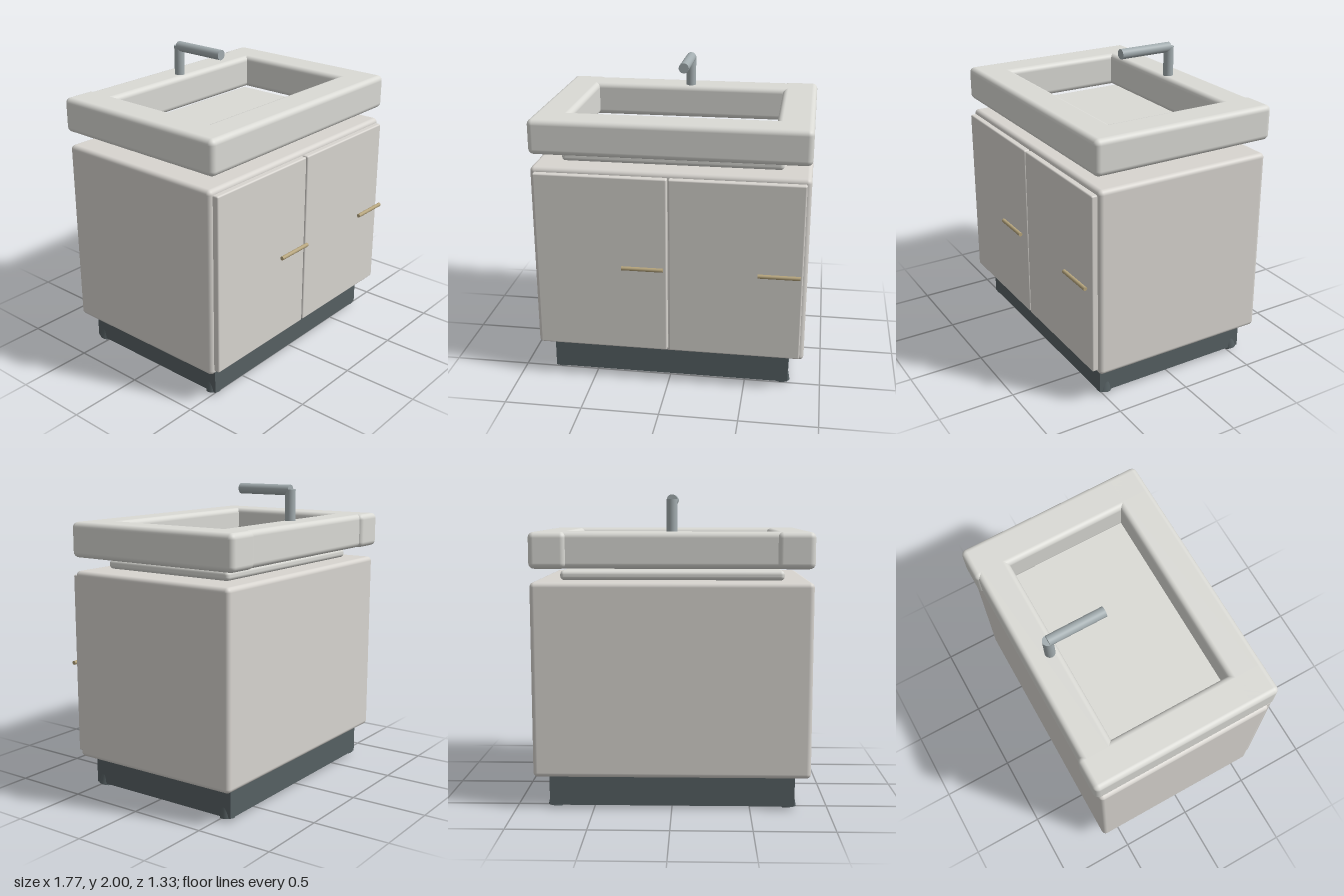
import * as THREE from 'three';
import { RoundedBoxGeometry } from 'three/addons/geometries/RoundedBoxGeometry.js';

const mat = (color) => new THREE.MeshStandardMaterial({ color });

export function createModel() {
  const model = new THREE.Group();
  model.name = 'washstand';
  const cabinetMat = mat(0xd8d5d0);
  const ceramicMat = mat(0xdadad5);
  const plinthMat = mat(0x566063);
  const chromeMat = mat(0xa3adb0);
  const brassMat = mat(0xb5a47c);

  const add = (name, geometry, material, parent = model) => {
    const mesh = new THREE.Mesh(geometry, material);
    mesh.name = name;
    parent.add(mesh);
    return mesh;
  };

  // Box given by its [min, max] extents, rounded when r > 0
  const block = (name, [x0, x1], [y0, y1], [z0, z1], r, material, parent) => {
    const size = [x1 - x0, y1 - y0, z1 - z0];
    const geometry = r > 0 ? new RoundedBoxGeometry(...size, 4, r) : new THREE.BoxGeometry(...size);
    const mesh = add(name, geometry, material, parent);
    mesh.position.set((x0 + x1) / 2, (y0 + y1) / 2, (z0 + z1) / 2);
    return mesh;
  };

  // Recessed plinth with a slightly splayed foot in each corner
  block('plinth', [-0.787, 0.787], [0.02, 0.225], [-0.58, 0.52], 0, plinthMat);
  for (const sx of [-1, 1]) {
    for (const sz of [-1, 1]) {
      const foot = new THREE.Group();
      foot.name = 'foot';
      foot.position.set(sx * 0.755, 0.009, -0.03 + sz * 0.505);
      foot.rotation.set(-sz * 0.13, 0, sx * 0.13);
      add('footPost', new THREE.CylinderGeometry(0.035, 0.046, 0.18, 24).translate(0, 0.09, 0), plinthMat, foot);
      model.add(foot);
    }
  }

  // Cabinet with two doors and a bar handle on each
  block('cabinet', [-0.885, 0.885], [0.215, 1.46], [-0.635, 0.577], 0.03, cabinetMat);
  for (const [x0, x1, handleX] of [[-0.858, -0.005, -0.158], [0.005, 0.858, 0.71]]) {
    block('door', [x0, x1], [0.245, 1.43], [0.565, 0.615], 0.01, cabinetMat);
    const handle = add('handle', new THREE.CylinderGeometry(0.013, 0.013, 0.267, 16), brassMat);
    handle.rotation.z = Math.PI / 2;
    handle.position.set(handleX, 0.835, 0.653);
  }

  // Basin: floor slab under a rim of four overlapping bars
  const basin = new THREE.Group();
  basin.name = 'basin';
  model.add(basin);
  const rimY = [1.545, 1.772];
  block('basinFloor', [-0.71, 0.71], [1.465, 1.525], [-0.505, 0.445], 0.025, ceramicMat, basin);
  block('rimLeft', [0.65, 0.885], rimY, [-0.663, 0.6], 0.036, ceramicMat, basin);
  block('rimRight', [-0.885, -0.65], rimY, [-0.663, 0.6], 0.036, ceramicMat, basin);
  block('rimFront', [-0.885, 0.885], rimY, [0.37, 0.6], 0.036, ceramicMat, basin);
  block('rimBack', [-0.8, 0.8], rimY, [-0.645, -0.428], 0.036, ceramicMat, basin);

  // Tap: upright and spout
  const tap = new THREE.Group();
  tap.name = 'tap';
  model.add(tap);
  const upright = add('tapUpright', new THREE.CylinderGeometry(0.034, 0.034, 0.27, 32), chromeMat, tap);
  upright.position.set(0, 1.837, -0.488);
  const spout = add('tapSpout', new THREE.CylinderGeometry(0.034, 0.034, 0.382, 32), chromeMat, tap);
  spout.rotation.x = Math.PI / 2;
  spout.position.set(0, 1.967, -0.298);

  return model;
}
